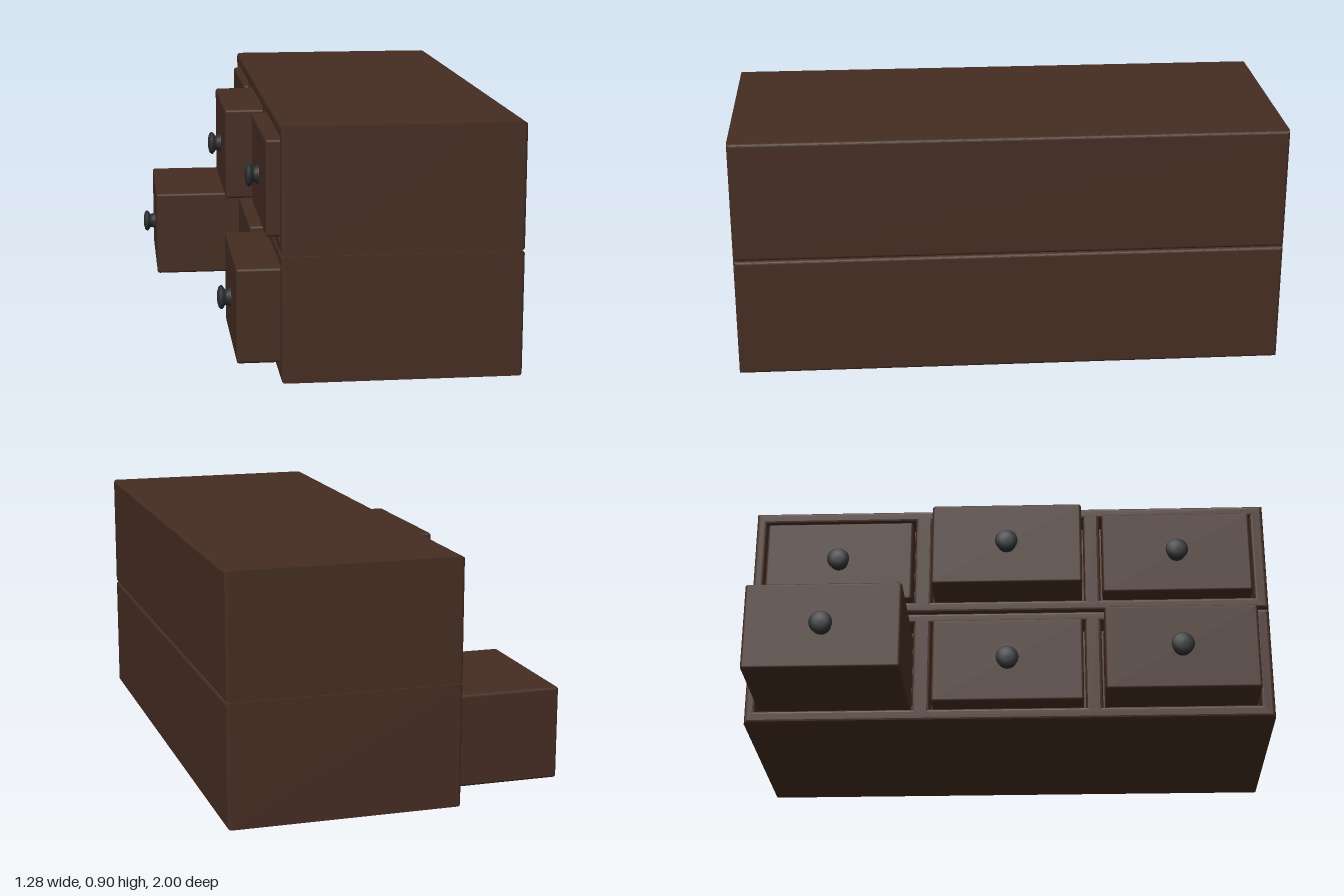
import * as THREE from 'three';
import { RoundedBoxGeometry } from 'three/addons/geometries/RoundedBoxGeometry.js';

const BACK = 0.635, FRONT = -0.21, TIER_H = 0.447, BEVEL = 0.012;
const DRAWER_W = 0.575, DRAWER_H = 0.338;
const COLUMNS = [-0.663, -0.003, 0.652];
// centre height of the drawer row and front position of each drawer
const TIERS = [
  { y: 0, row: 0.226, fronts: [-0.595, -0.26, -0.36] },
  { y: 0.45, row: 0.674, fronts: [-0.228, -0.35, -0.257] },
];

function rect(Type, x0, x1, y0, y1) {
  const r = new Type();
  r.moveTo(x0, y0);
  r.lineTo(x1, y0);
  r.lineTo(x1, y1);
  r.lineTo(x0, y1);
  r.closePath();
  return r;
}

export function createModel() {
  const wood = new THREE.MeshStandardMaterial({ color: 0x452d22 });
  wood.name = 'dark wood';
  const metal = new THREE.MeshStandardMaterial({ color: 0x2c2e30 });
  metal.name = 'dark metal';

  const model = new THREE.Group();
  model.name = 'chestOfDrawers';
  const add = (parent, name, geometry, material, x, y, z) => {
    const mesh = new THREE.Mesh(geometry, material);
    mesh.name = name;
    mesh.position.set(x, y, z);
    parent.add(mesh);
    return mesh;
  };

  // Turned knob pointing to -x
  const knobGeometry = new THREE.LatheGeometry(
    [[0.036, -0.004], [0.034, 0.005], [0.029, 0.012], [0.028, 0.02], [0.036, 0.025], [0.043, 0.031],
      [0.043, 0.037], [0.036, 0.044], [0.02, 0.048], [0, 0.049]].map(([r, h]) => new THREE.Vector2(r, h)), 24);
  knobGeometry.rotateZ(Math.PI / 2);

  TIERS.forEach((tier, t) => {
    const level = t ? 'upper' : 'lower';
    const group = new THREE.Group();
    group.name = level + 'Tier';
    model.add(group);

    // Frame with three drawer openings
    const shape = rect(THREE.Shape, -1, 1, tier.y, tier.y + TIER_H);
    const hw = DRAWER_W / 2 + 0.008, hh = DRAWER_H / 2 + 0.008;
    for (const z of COLUMNS) {
      shape.holes.push(rect(THREE.Path, z - hw, z + hw, tier.row - hh, tier.row + hh));
    }
    const frame = new THREE.ExtrudeGeometry(shape, {
      depth: BACK - FRONT - 2 * BEVEL, bevelEnabled: true, bevelThickness: BEVEL,
      bevelSize: BEVEL, bevelOffset: -BEVEL, bevelSegments: 3,
    });
    frame.rotateY(-Math.PI / 2);
    add(group, level + 'Frame', frame, wood, BACK - BEVEL, 0, 0);

    // Solid body closing the back
    const depth = BACK + 0.12;
    add(group, level + 'Body', new RoundedBoxGeometry(depth, TIER_H, 2, 3, BEVEL), wood,
      BACK - depth / 2, tier.y + TIER_H / 2, 0);

    // Drawers pulled out by different amounts
    COLUMNS.forEach((z, i) => {
      const front = tier.fronts[i], length = -0.05 - front;
      const drop = i === 0 ? -0.004 : 0;
      const drawer = new THREE.Group();
      drawer.name = level + 'Drawer' + (i + 1);
      drawer.position.set(front, tier.row + drop, z);
      group.add(drawer);
      add(drawer, 'drawerBox', new RoundedBoxGeometry(length, DRAWER_H, DRAWER_W, 3, 0.01), wood, length / 2, 0, 0);
      add(drawer, 'knob', knobGeometry, metal, 0, -0.005, 0);
    });
  });
  return model;
}
